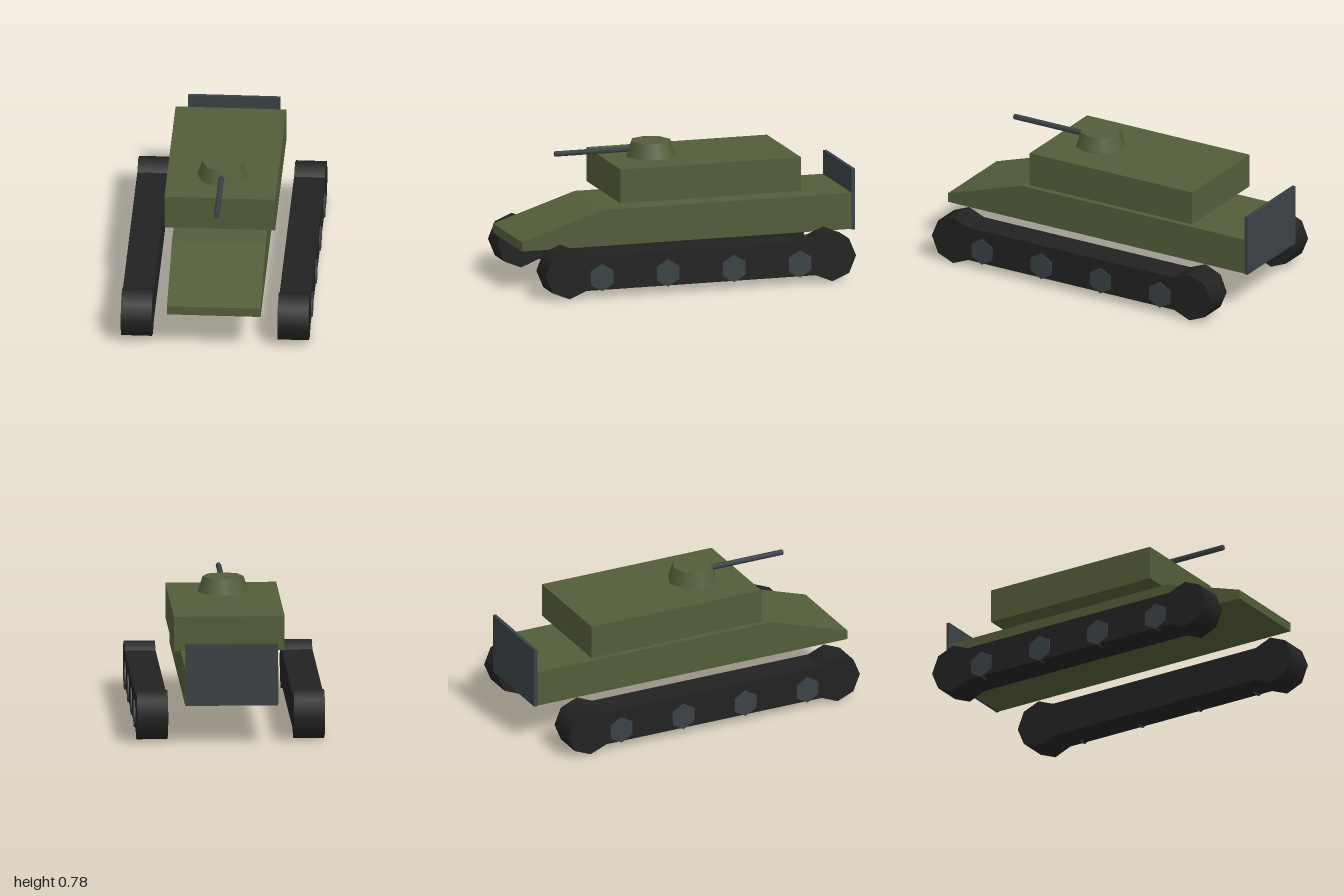
import * as THREE from 'three';

function material(name, color) {
  const m = new THREE.MeshStandardMaterial({ color });
  m.name = name;
  return m;
}

export function createModel() {
  const green = material('olive green', 0x535d39);
  const black = material('track black', 0x222222);
  const steel = material('dark steel', 0x3a4245);

  const model = new THREE.Group();
  model.name = 'tank';

  function add(parent, name, geometry, mat, x, y, z) {
    const mesh = new THREE.Mesh(geometry, mat);
    mesh.name = name;
    mesh.position.set(x, y, z);
    parent.add(mesh);
    return mesh;
  }

  // Box given by its lower and upper bounds
  function addBox(parent, name, mat, [x0, x1], [y0, y1], [z0, z1]) {
    return add(parent, name, new THREE.BoxGeometry(x1 - x0, y1 - y0, z1 - z0), mat,
      (x0 + x1) / 2, (y0 + y1) / 2, (z0 + z1) / 2);
  }

  // Hull: side profile (z, y) with a sloped bow, extruded across the width
  const halfWidth = 0.268;
  const profile = new THREE.Shape([
    [-0.98, 0.237], [1, 0.237], [1, 0.29], [0.51, 0.448], [-0.98, 0.448],
  ].map(([z, y]) => new THREE.Vector2(z, y)));
  const hull = new THREE.ExtrudeGeometry(profile, { depth: 2 * halfWidth, bevelEnabled: false });
  hull.translate(0, 0, -halfWidth).rotateY(-Math.PI / 2);
  add(model, 'hull', hull, green, 0, 0, 0);

  addBox(model, 'rearPlate', steel, [-0.264, 0.264], [0.232, 0.588], [-1, -0.98]);
  addBox(model, 'superstructure', green, [-0.317, 0.317], [0.49, 0.688], [-0.66, 0.424]);

  // Turret and gun
  add(model, 'turret', new THREE.CylinderGeometry(0.117, 0.146, 0.088, 8), green, 0, 0.732, 0.142);
  const gun = new THREE.CylinderGeometry(0.016, 0.016, 0.5, 6);
  gun.rotateY(Math.PI / 6).rotateX(Math.PI / 2);
  add(model, 'gunBarrel', gun, steel, 0, 0.733, 0.468);

  // Tracks: belt, octagonal end wheels and hexagonal road wheels on the outside
  const endWheel = new THREE.CylinderGeometry(0.142, 0.142, 0.177, 8).rotateZ(Math.PI / 2);
  const roadWheel = new THREE.CylinderGeometry(0.079, 0.079, 0.05, 6)
    .rotateY(Math.PI / 6).rotateZ(Math.PI / 2);
  for (const side of [1, -1]) {
    const track = new THREE.Group();
    track.name = side > 0 ? 'leftTrack' : 'rightTrack';
    track.position.x = side * 0.4485;
    model.add(track);
    addBox(track, 'trackBelt', black, [-0.0885, 0.0885], [0.042, 0.243], [-0.775, 0.8]);
    add(track, 'frontEndWheel', endWheel, black, 0, 0.142, 0.802);
    add(track, 'rearEndWheel', endWheel, black, 0, 0.142, -0.777);
    for (let i = 0; i < 4; i++) {
      add(track, 'roadWheel', roadWheel, steel, side * 0.0705, 0.115, 0.607 - i * 0.396);
    }
  }

  return model;
}
